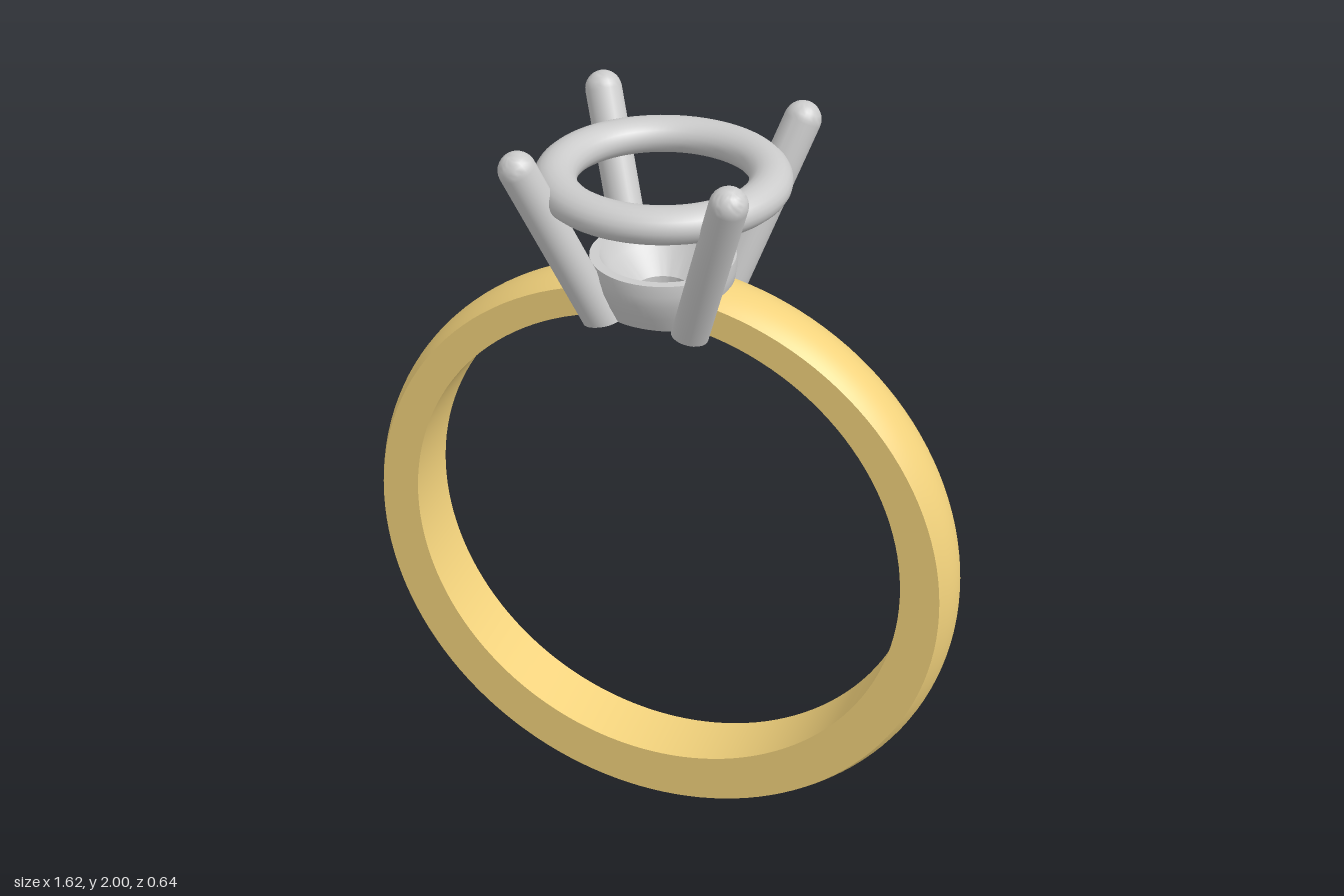
import * as THREE from 'three';
import { toCreasedNormals } from 'three/addons/utils/BufferGeometryUtils.js';

const BORE_R = 0.68, BORE_Y = 0.84;   // finger opening
const BAND_R = 0.81, BAND_Y = 0.81;   // outside of the band
const boreTop = (x) => BORE_Y + Math.sqrt(BORE_R * BORE_R - x * x);

const gold = new THREE.MeshStandardMaterial({ color: 0xf2d27c });
const metal = new THREE.MeshStandardMaterial({ color: 0xcccccc });

function lathe(points, segments, start = 0, length = Math.PI * 2) {
  return new THREE.LatheGeometry(points.map(([r, y]) => new THREE.Vector2(r, y)), segments, start, length);
}

function editVertices(geometry, rule) {
  const pos = geometry.attributes.position, v = new THREE.Vector3();
  for (let i = 0; i < pos.count; i++) {
    rule(v.fromBufferAttribute(pos, i));
    pos.setXYZ(i, v.x, v.y, v.z);
  }
  return geometry;
}

function mesh(name, geometry, material) {
  const m = new THREE.Mesh(toCreasedNormals(geometry, 0.6), material);
  m.name = name;
  return m;
}

// Domed band, thinner at the top, open where the setting sits
function bandGeometry() {
  const half = 0.086, edge = 0.785, gap = 0.163;
  const profile = [[BORE_R, -half]];
  for (let i = 0; i <= 12; i++) {
    const t = i / 6 - 1;
    profile.push([BAND_R - (BAND_R - edge) * t * t, half * t]);
  }
  profile.push([BORE_R, half], [BORE_R, -half]);
  const g = lathe(profile, 128, Math.PI + gap, Math.PI * 2 - gap * 2);
  g.rotateX(Math.PI / 2);
  return editVertices(g, (v) => {
    v.y += Math.hypot(v.x, v.y) < 0.7 ? BORE_Y : BAND_Y;
  });
}

// Pierced cup whose underside follows the finger opening
function cupGeometry() {
  const g = lathe([
    [0.07, 0], [0.145, 0], [0.165, 1.56], [0.18, 1.6], [0.185, 1.63], [0.183, 1.66],
    [0.158, 1.66], [0.135, 1.615], [0.07, 1.56], [0.07, 0],
  ], 64);
  return editVertices(g, (v) => { if (v.y < 1) v.y = boreTop(v.x); });
}

// Round-tipped prong leaning outwards, its foot trimmed to the finger opening
function prongGeometry(sx, sz) {
  const r = 0.047;
  const foot = new THREE.Vector3(0.12 * sx, 1.52, 0.12 * sz);
  const tip = new THREE.Vector3(0.266 * sx, 1.953, 0.266 * sz);
  const axis = tip.clone().sub(foot), length = axis.length();
  axis.normalize();
  const profile = [[0, 0], [r, 0]];
  for (let i = 0; i <= 8; i++) {
    const a = (i / 8) * Math.PI / 2;
    profile.push([r * Math.cos(a), length + r * Math.sin(a)]);
  }
  const turn = new THREE.Quaternion().setFromUnitVectors(new THREE.Vector3(0, 1, 0), axis);
  return editVertices(lathe(profile, 24), (v) => {
    const isFoot = v.y < 0.001;
    v.applyQuaternion(turn).add(foot);
    if (isFoot) for (let k = 0; k < 4; k++) v.addScaledVector(axis, (boreTop(v.x) - v.y) / axis.y);
  });
}

// Flattened round rail that joins the prongs
function railGeometry() {
  const g = new THREE.TorusGeometry(0.264, 0.054, 20, 80);
  g.rotateX(Math.PI / 2);
  g.scale(1, 0.84, 1);
  g.translate(0, 1.865, 0);
  return g;
}

export function createModel() {
  const model = new THREE.Group();
  model.name = 'ring';
  model.add(mesh('band', bandGeometry(), gold));

  const setting = new THREE.Group();
  setting.name = 'setting';
  setting.add(mesh('baseCup', cupGeometry(), metal), mesh('rail', railGeometry(), metal));
  for (const [sx, side] of [[1, 'Left'], [-1, 'Right']])
    for (const [sz, end] of [[1, 'front'], [-1, 'back']])
      setting.add(mesh(`${end}${side}Prong`, prongGeometry(sx, sz), metal));
  model.add(setting);
  return model;
}
